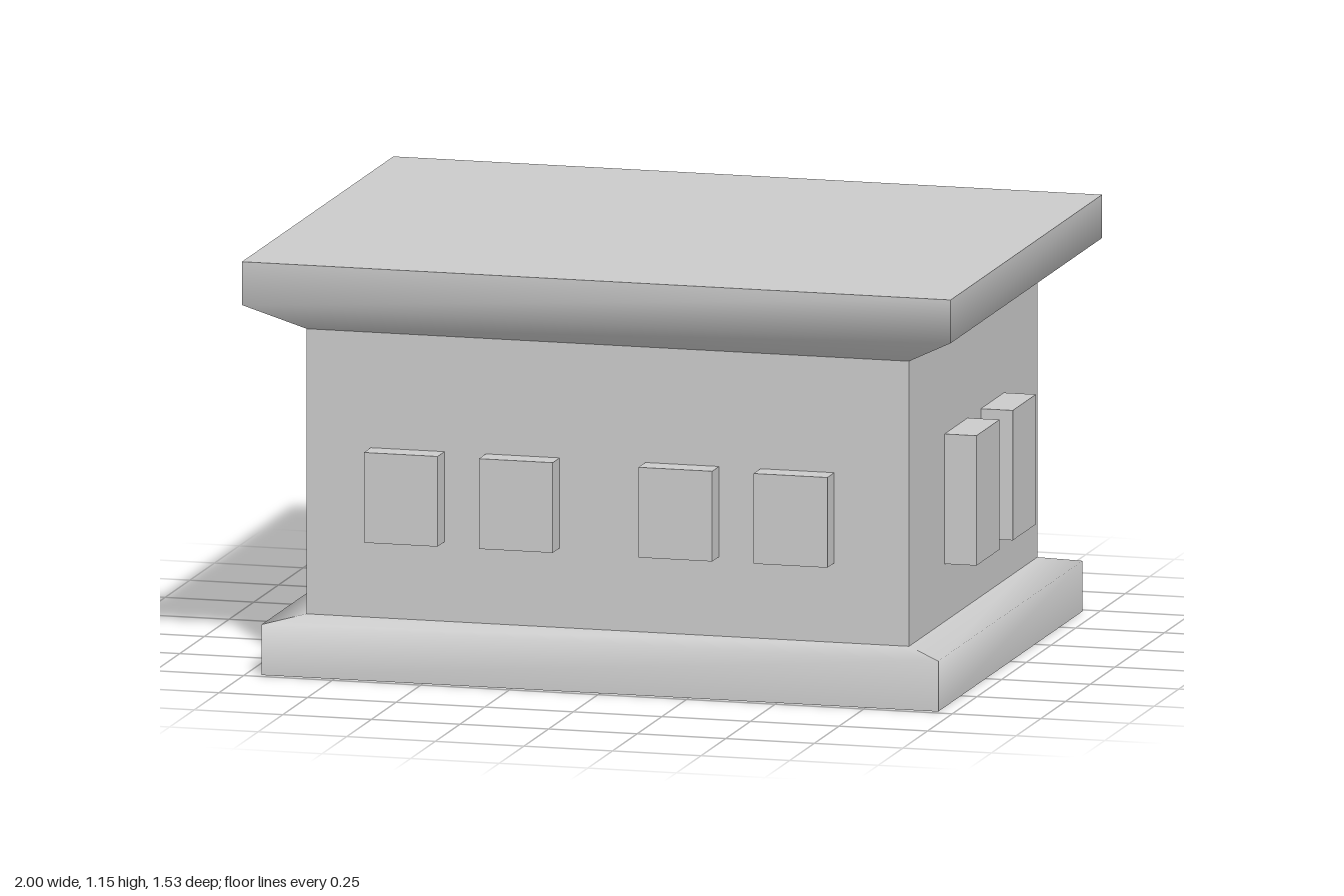
import * as THREE from 'three';

const material = new THREE.MeshStandardMaterial({ color: 0xcccccc, side: THREE.DoubleSide });

function addMesh(parent, name, geometry, x = 0, y = 0, z = 0) {
  const mesh = new THREE.Mesh(geometry, material);
  mesh.name = name;
  mesh.position.set(x, y, z);
  parent.add(mesh);
  return mesh;
}

// Open four-sided band through rows of [y, halfX, halfZ]; smooth up each side, sharp at the corners
function band(rows) {
  const corners = [[1, 1], [1, -1], [-1, -1], [-1, 1]];
  const positions = [], indices = [];
  corners.forEach((a, side) => {
    const b = corners[(side + 1) % 4];
    const start = positions.length / 3;
    rows.forEach(([y, hx, hz], i) => {
      positions.push(a[0] * hx, y, a[1] * hz, b[0] * hx, y, b[1] * hz);
      if (i === 0) return;
      const k = start + (i - 1) * 2;
      indices.push(k, k + 1, k + 3, k, k + 3, k + 2);
    });
  });
  const geometry = new THREE.BufferGeometry();
  geometry.setAttribute('position', new THREE.Float32BufferAttribute(positions, 3));
  geometry.setIndex(indices);
  geometry.computeVertexNormals();
  return geometry;
}

// Horizontal rectangle facing up (or down)
function cap(hx, hz, up = true) {
  return new THREE.PlaneGeometry(hx * 2, hz * 2).rotateX(up ? -Math.PI / 2 : Math.PI / 2);
}

// Box given by its limits on each axis
function addBlock(parent, name, [x0, x1], [y0, y1], [z0, z1]) {
  addMesh(parent, name, new THREE.BoxGeometry(x1 - x0, y1 - y0, z1 - z0),
    (x0 + x1) / 2, (y0 + y1) / 2, (z0 + z1) / 2);
}

export function createModel() {
  const model = new THREE.Group();
  model.name = 'building';

  // Hollow shell: flared base, walls, flared eaves and flat roof
  addMesh(model, 'base', band([[0, 0.955, 0.73], [0.14, 0.955, 0.73], [0.16, 0.85, 0.65]]));
  addMesh(model, 'walls', band([[0.16, 0.85, 0.65], [0.95, 0.85, 0.65]]));
  addMesh(model, 'eaves', band([[0.95, 0.85, 0.65], [1.03, 1, 0.767], [1.15, 1, 0.767]]));
  addMesh(model, 'roof', cap(1, 0.767), 0, 1.15, 0);

  // Door block set through the back wall, flaring into a canopy
  const entrance = new THREE.Group();
  entrance.name = 'entrance';
  entrance.position.z = -0.48;
  addMesh(entrance, 'door', band([[0.11, 0.26, 0.2], [0.67, 0.26, 0.2]]));
  addMesh(entrance, 'doorBottom', cap(0.26, 0.2, false), 0, 0.11, 0);
  addMesh(entrance, 'canopy', band([[0.67, 0.26, 0.2], [0.7, 0.345, 0.26], [0.825, 0.345, 0.26]]));
  addMesh(entrance, 'canopyTop', cap(0.345, 0.26), 0, 0.825, 0);
  model.add(entrance);

  // Four windows on the front
  for (const x of [-0.565, -0.24, 0.21, 0.535])
    addBlock(model, 'frontWindow', [x - 0.104, x + 0.104], [0.38, 0.63], [0.64, 0.72]);

  // Two windows on each side
  for (const z of [0.173, -0.195]) {
    addBlock(model, 'leftWindow', [0.8, 0.94], [0.32, 0.68], [z - 0.117, z + 0.117]);
    addBlock(model, 'rightWindow', [-0.94, -0.8], [0.32, 0.68], [z - 0.117, z + 0.117]);
  }
  return model;
}
